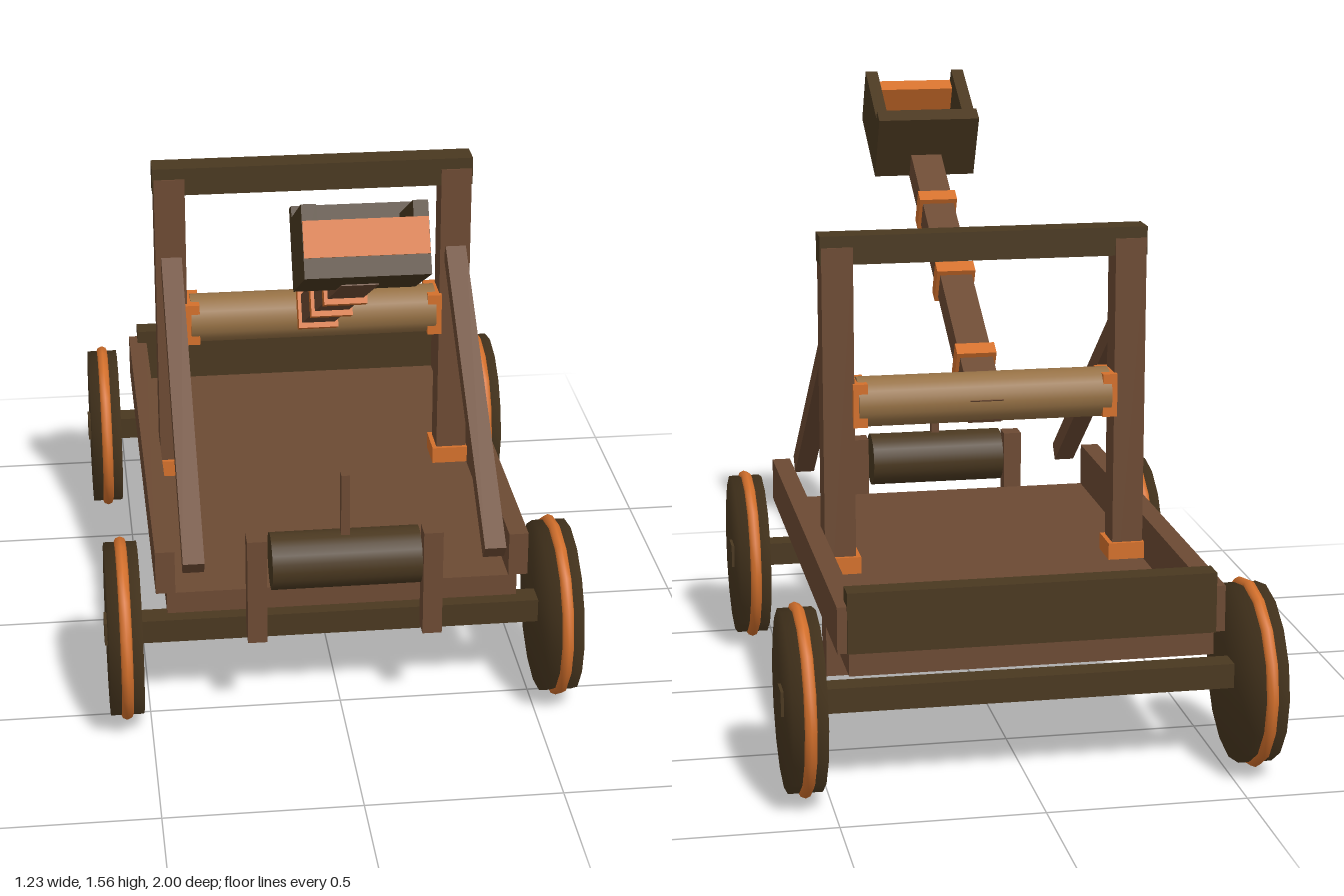
import * as THREE from 'three';
import { mergeVertices } from 'three/addons/utils/BufferGeometryUtils.js';

const material = (name, color) => {
  const m = new THREE.MeshStandardMaterial({ color });
  m.name = name;
  return m;
};

export function createModel() {
  const brown = material('brown wood', 0x6c4a33);
  const dark = material('dark wood', 0x4a3820);
  const orange = material('copper orange', 0xd3702c);
  const tan = material('pale wood', 0x967145);

  const root = new THREE.Group();
  root.name = 'catapult';

  const add = (name, geo, mat, parent = root) => {
    const mesh = new THREE.Mesh(geo, mat);
    mesh.name = name;
    parent.add(mesh);
    return mesh;
  };
  // Box given by its extents on each axis
  const box = (name, mat, [x0, x1], [y0, y1], [z0, z1], parent = root) => {
    const mesh = add(name, new THREE.BoxGeometry(x1 - x0, y1 - y0, z1 - z0), mat, parent);
    mesh.position.set((x0 + x1) / 2, (y0 + y1) / 2, (z0 + z1) / 2);
    return mesh;
  };
  // Same box on both sides of the model
  const pair = (name, mat, [x0, x1], ys, zs) => {
    box(name + 'Left', mat, [x0, x1], ys, zs);
    box(name + 'Right', mat, [-x1, -x0], ys, zs);
  };
  // Cylinder lying along x
  const roller = (name, mat, r, length, y, z, sides) => {
    const geo = new THREE.CylinderGeometry(r, r, length, sides).rotateZ(Math.PI / 2);
    add(name, geo, mat).position.set(0, y, z);
  };

  // Deck, side rails and tail board
  box('deck', brown, [-0.452, 0.452], [0.322, 0.38], [-0.838, 0.548]);
  pair('sideRail', brown, [0.43, 0.48], [0.38, 0.497], [-0.838, 0.548]);
  box('tailBoard', dark, [-0.456, 0.456], [0.38, 0.533], [-0.845, -0.785]);

  // Wheels: disc with softened edge, copper rim, square axle
  let disc = new THREE.CylinderGeometry(0.225, 0.225, 0.085, 16).rotateZ(Math.PI / 2);
  disc.deleteAttribute('normal');
  disc.deleteAttribute('uv');
  disc = mergeVertices(disc);
  disc.computeVertexNormals();
  const rim = new THREE.TorusGeometry(0.222, 0.0165, 8, 16).rotateY(Math.PI / 2);
  for (const [end, z] of [['front', 0.473], ['rear', -0.76]]) {
    box(end + 'Axle', dark, [-0.613, 0.613], [0.213, 0.276], [z - 0.032, z + 0.032]);
    for (const [side, s] of [['Left', 1], ['Right', -1]]) {
      const wheel = new THREE.Group();
      wheel.name = end + 'Wheel' + side;
      wheel.position.set(s * 0.563, 0.243, z);
      add('disc', disc, dark, wheel);
      add('rim', rim, orange, wheel);
      root.add(wheel);
    }
  }

  // Upright frame
  const fz = -0.168;
  const depth = (h) => [fz - h, fz + h];
  pair('post', brown, [0.345, 0.427], [0.1, 1.25], depth(0.042));
  box('crossBeam', dark, [-0.43, 0.43], [1.205, 1.28], depth(0.038));
  pair('postCollar', orange, [0.333, 0.431], [0.383, 0.428], depth(0.053));

  // Arm roller with square end collars
  roller('armRoller', tan, 0.066, 0.67, 0.835, fz, 20);
  pair('rollerCollar', orange, [0.312, 0.35], [0.778, 0.893], depth(0.057));

  // Diagonal braces from the posts down to the front of the deck
  const top = new THREE.Vector2(-0.126, 1.016), foot = new THREE.Vector2(0.588, 0.469);
  for (const [side, s] of [['Left', 1], ['Right', -1]]) {
    const brace = add('brace' + side, new THREE.BoxGeometry(0.055, 0.05, top.distanceTo(foot)), brown);
    brace.position.set(s * 0.385, (top.y + foot.y) / 2, (top.x + foot.x) / 2);
    brace.rotation.x = Math.atan2(top.y - foot.y, foot.x - top.x);
  }

  // Winch drum, handle and supports
  roller('winchDrum', dark, 0.074, 0.38, 0.475, 0.581, 20);
  box('winchHandle', brown, [-0.011, 0.011], [0.475, 0.713], [0.573, 0.597]);
  pair('winchSupport', brown, [0.2, 0.25], [0.253, 0.542], [0.548, 0.604]);

  // Throwing arm, modelled along local z and tilted about the roller
  const arm = new THREE.Group();
  arm.name = 'throwingArm';
  arm.position.set(0, 0.832, fz);
  arm.rotation.x = -28 * Math.PI / 180;
  root.add(arm);
  box('armBeam', brown, [-0.044, 0.044], [-0.038, 0.038], [-0.056, 1.137], arm);
  for (const t of [0.138, 0.485, 0.807]) {
    box('armBand', orange, [-0.053, 0.053], [-0.052, 0.052], [t - 0.021, t + 0.021], arm);
  }

  // Bucket
  box('bucketFloor', dark, [-0.145, 0.145], [-0.035, 0.012], [1.018, 1.304], arm);
  for (const s of [-1, 1]) {
    box('bucketSide', dark, s > 0 ? [0.11, 0.145] : [-0.145, -0.11], [0.012, 0.135], [1.068, 1.304], arm);
  }
  box('bucketBack', dark, [-0.145, 0.145], [0.012, 0.162], [1.018, 1.068], arm);
  box('bucketFront', orange, [-0.144, 0.144], [0.012, 0.097], [1.262, 1.307], arm);

  return root;
}
